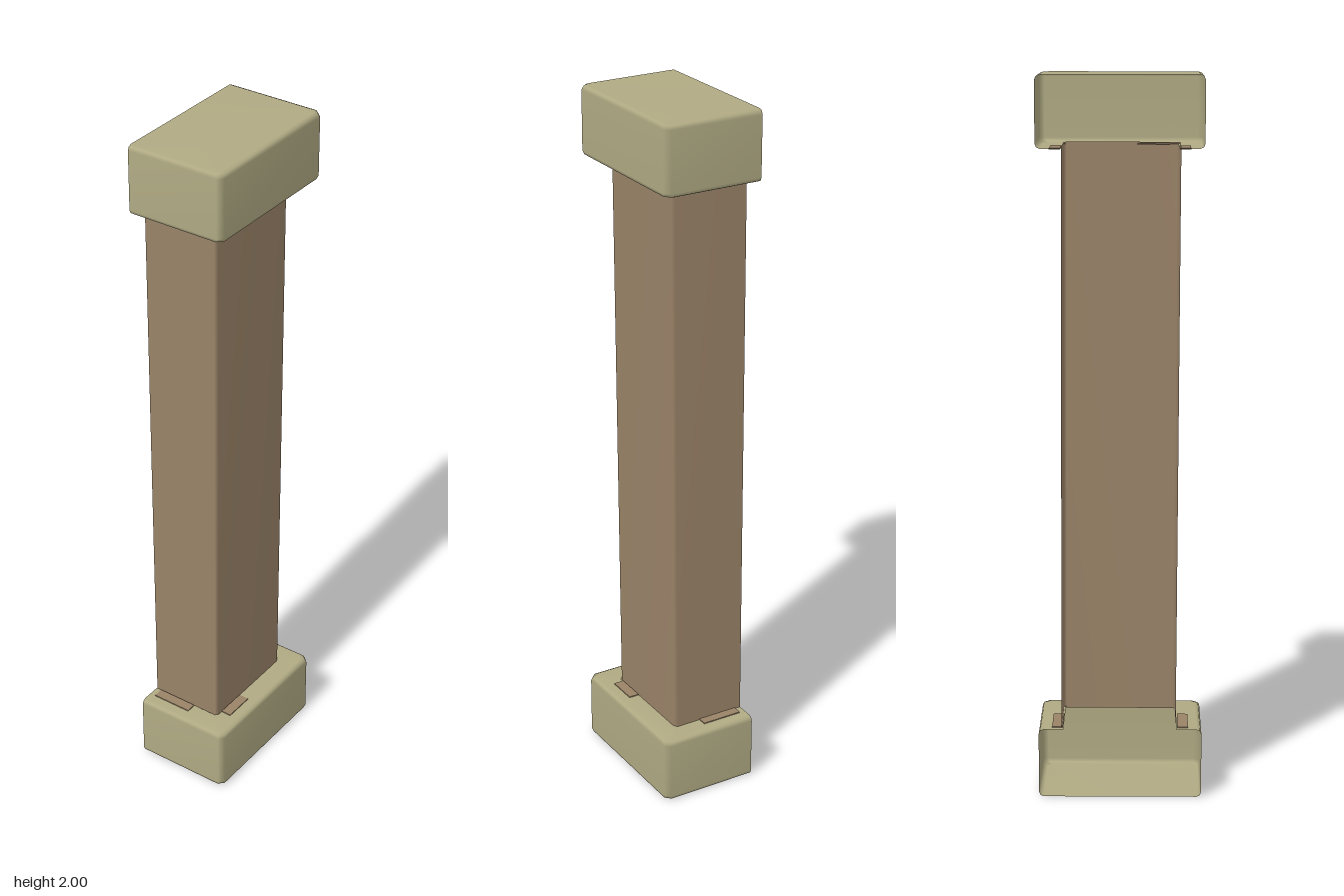
import * as THREE from 'three';

const BACK = -0.143; // plane where the half column is cut open

// U-shaped outline, running front -> side -> rear, with chamfered corners
function outline({ y, x, z, c = 0.015, shift = 0 }) {
  return [
    [BACK, z], [x - c, z], [x, z - c], [x, -z + c], [x - c, -z], [BACK, -z],
  ].map(([px, pz]) => [px, y, pz + shift]);
}

// Skin a list of outlines, ordered so the faces point outwards
function loft(sections, material, name) {
  const rows = sections.map(outline);
  const n = rows[0].length;
  const index = [];
  for (let i = 0; i < rows.length - 1; i++) {
    for (let j = 0; j < n - 1; j++) {
      const a = i * n + j, b = a + 1;
      index.push(a, b, b + n, a, b + n, a + n);
    }
  }
  const geometry = new THREE.BufferGeometry();
  geometry.setAttribute('position', new THREE.Float32BufferAttribute(rows.flat(2), 3));
  geometry.setIndex(index);
  geometry.computeVertexNormals();
  const mesh = new THREE.Mesh(geometry, material);
  mesh.name = name;
  return mesh;
}

export function createModel() {
  const stone = new THREE.MeshStandardMaterial({ color: 0xb0aa83, side: THREE.DoubleSide });
  stone.name = 'olive stone';
  const clay = new THREE.MeshStandardMaterial({ color: 0x9a8368, side: THREE.DoubleSide });
  clay.name = 'brown clay';

  const group = new THREE.Group();
  group.name = 'halfColumn';

  // Bevelled block: closed outer face, walls, then a ledge around the shaft
  const block = [
    { y: 0, x: BACK, z: 0, c: 0 },
    { y: 0, x: 0.13, z: 0.214 },
    { y: 0.004, x: 0.139, z: 0.223 },
    { y: 0.014, x: 0.143, z: 0.227 },
    { y: 0.181, x: 0.143, z: 0.227 },
    { y: 0.191, x: 0.139, z: 0.223 },
    { y: 0.195, x: 0.13, z: 0.214 },
    { y: 0.195, x: 0.076, z: 0.158, c: 0.008 },
  ];
  group.add(loft(block, stone, 'base'));
  const flipped = block.map((s) => ({ ...s, y: 2 - s.y })).reverse();
  group.add(loft(flipped, stone, 'capital'));

  // Hollow shaft with a very slight lean
  group.add(loft([
    { y: 0.19, x: 0.074, z: 0.159, c: 0.007, shift: -0.004 },
    { y: 1.81, x: 0.083, z: 0.16, c: 0.007, shift: 0.003 },
  ], clay, 'shaft'));

  // Thin worn patches on the ledges beside the shaft
  const patches = [
    [-0.065, 0.175, 0.12, 0.03],
    [-0.065, -0.175, 0.12, 0.03],
    [0.092, 0.09, 0.03, 0.09],
  ];
  for (const y of [0.196, 1.804]) {
    for (const [x, z, w, d] of patches) {
      const patch = new THREE.Mesh(new THREE.BoxGeometry(w, 0.004, d), clay);
      patch.position.set(x, y, z);
      patch.name = 'ledgePatch';
      group.add(patch);
    }
  }
  return group;
}
